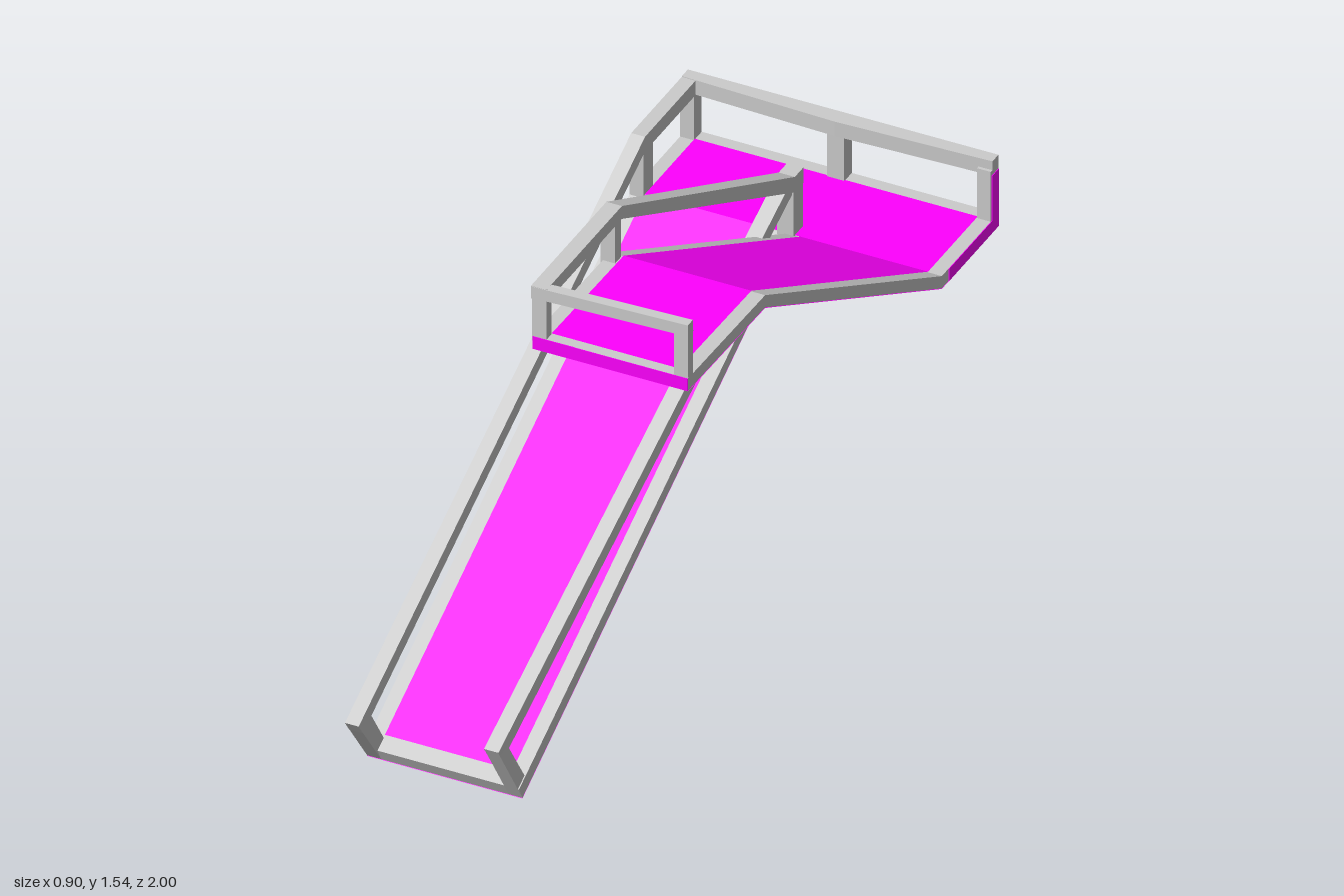
import * as THREE from 'three';

const grey = new THREE.MeshStandardMaterial({ color: 0xcccccc, flatShading: true });
const magenta = new THREE.MeshStandardMaterial({ color: 0xff00ff, flatShading: true, side: THREE.DoubleSide });

function add(group, name, geometry, material = grey) {
  const mesh = new THREE.Mesh(geometry, material);
  mesh.name = name;
  group.add(mesh);
  return mesh;
}

function fromTriangles(points) {
  const g = new THREE.BufferGeometry();
  g.setAttribute('position', new THREE.Float32BufferAttribute(points.flat(), 3));
  g.computeVertexNormals();
  return g;
}

// Solid bar through four-cornered sections, listed front to back:
// [x0, x1, yBottom, yTop, zBottom, zTop, x shift of the top]
function loft(sections) {
  const rings = sections.map(([x0, x1, yb, yt, zb, zt = zb, dx = 0]) =>
    [[x0, yb, zb], [x1, yb, zb], [x1 + dx, yt, zt], [x0 + dx, yt, zt]]);
  const tris = [];
  const quad = (a, b, c, d) => tris.push(a, b, c, a, c, d);
  quad(...rings[0]);
  quad(...[...rings[rings.length - 1]].reverse());
  for (let i = 0; i < rings.length - 1; i++) {
    for (let k = 0; k < 4; k++) {
      const n = (k + 1) % 4;
      quad(rings[i][k], rings[i + 1][k], rings[i + 1][n], rings[i][n]);
    }
  }
  return fromTriangles(tris);
}

// Thin surface across rows of [x0, x1, y, z]
function sheet(rows) {
  const tris = [];
  for (let i = 0; i < rows.length - 1; i++) {
    const [a0, a1, ay, az] = rows[i], [b0, b1, by, bz] = rows[i + 1];
    const a = [a0, ay, az], b = [a1, ay, az], c = [b1, by, bz], d = [b0, by, bz];
    tris.push(a, b, c, a, c, d);
  }
  return fromTriangles(tris);
}

function box(x0, x1, y0, y1, z0, z1) {
  return new THREE.BoxGeometry(x1 - x0, y1 - y0, z1 - z0)
    .translate((x0 + x1) / 2, (y0 + y1) / 2, (z0 + z1) / 2);
}

// Grey slab with an inset floor panel on top and a coloured underside
function deck(group, name, sections, panelRows) {
  const gap = 0.002;
  add(group, name + 'Slab', loft(sections));
  add(group, name + 'Floor', sheet(panelRows.map(([a, b, y, z]) => [a, b, y + gap, z])), magenta);
  add(group, name + 'Underside', sheet(sections.map(([a, b, y, , z]) => [a, b, y - gap, z])), magenta);
}

export function createModel() {
  const model = new THREE.Group();
  model.name = 'switchbackRamp';

  // Walking surfaces
  deck(model, 'lowerRamp',
    [[-0.45, 0, 0.002, 0.04, 0.87, 0.89], [-0.45, 0, 0.807, 0.845, -0.67]],
    [[-0.41, -0.04, 0.062, 0.847], [-0.41, -0.04, 0.845, -0.67]]);
  deck(model, 'landing',
    [[-0.45, 0.45, 0.807, 0.845, -0.67], [-0.45, 0.45, 0.807, 0.845, -1]],
    [[-0.41, 0.41, 0.845, -0.67], [-0.41, 0.41, 0.845, -0.96]]);
  deck(model, 'upperRamp',
    [[-0.02, 0.43, 1.337, 1.375, 0.77], [-0.015, 0.435, 1.337, 1.375, 0.33], [0, 0.45, 0.807, 0.845, -0.67]],
    [[0.02, 0.39, 1.375, 0.74], [0.025, 0.395, 1.375, 0.33], [0.04, 0.41, 0.845, -0.67]]);

  // Coloured outer edges where the walkway meets its neighbours
  add(model, 'upperFrontEdge', box(-0.02, 0.43, 1.337, 1.375, 0.769, 0.772), magenta);
  add(model, 'landingSideEdge', box(0.449, 0.452, 0.807, 0.845, -1, -0.71), magenta);
  add(model, 'landingPostEdge', box(0.449, 0.452, 0.845, 0.985, -1, -0.96), magenta);

  // Handrails
  add(model, 'outerHandrail', loft([
    [-0.45, -0.41, 0.145, 0.18, 0.975, 1], [-0.45, -0.41, 0.98, 1.025, -0.67], [-0.45, -0.41, 0.98, 1.025, -1]]));
  add(model, 'innerHandrail', loft([
    [-0.057, -0.015, 0.165, 0.203, 0.955, 0.98], [-0.025, 0.02, 0.98, 1.025, -0.67], [-0.025, 0.02, 0.98, 1.025, -0.72]]));
  add(model, 'upperHandrail', loft([
    [-0.025, 0.02, 1.49, 1.53, 0.77], [-0.025, 0.02, 1.49, 1.53, 0.33],
    [-0.023, 0.024, 0.98, 1.028, -0.67], [-0.023, 0.024, 0.98, 1.028, -0.72]]));
  const frontRail = add(model, 'upperFrontRail', new THREE.BoxGeometry(0.453, 0.035, 0.03));
  frontRail.position.set(0.204, 1.517, 0.756);
  frontRail.rotation.z = 0.027;

  // Landing back rail, slightly wider at its middle
  const plan = new THREE.Shape([[-0.45, -1], [0.45, -1], [0.45, -0.965], [0, -0.95], [-0.45, -0.965]]
    .map(([x, z]) => new THREE.Vector2(x, z)));
  add(model, 'landingBackRail', new THREE.ExtrudeGeometry(plan, { depth: 0.045, bevelEnabled: false })
    .rotateX(Math.PI / 2).translate(0, 1.027, 0));

  // Leaning posts at the foot of the lower ramp
  add(model, 'outerFootPost', loft([
    [-0.45, -0.41, 0.002, 0.18, 0.87, 1], [-0.45, -0.41, 0.022, 0.2, 0.83, 0.945]]));
  add(model, 'innerFootPost', loft([
    [-0.04, 0, 0.002, 0.203, 0.87, 0.98, -0.016], [-0.04, 0, 0.022, 0.216, 0.83, 0.94, -0.016]]));

  // Upright posts
  const posts = [
    [-0.45, -0.41, 0.83, 1, -0.715, -0.66],
    [-0.024, 0.024, 0.82, 1, -0.718, -0.662],
    [-0.45, -0.41, 0.83, 1, -1, -0.955],
    [-0.025, 0.025, 0.83, 1, -1, -0.955],
    [0.41, 0.45, 0.83, 1, -1, -0.955],
    [-0.022, 0.02, 1.36, 1.51, 0.335, 0.37],
    [-0.022, 0.02, 1.36, 1.51, 0.742, 0.77],
    [0.39, 0.43, 1.36, 1.52, 0.742, 0.77],
  ];
  posts.forEach((p) => add(model, 'post', box(...p)));

  return model;
}
